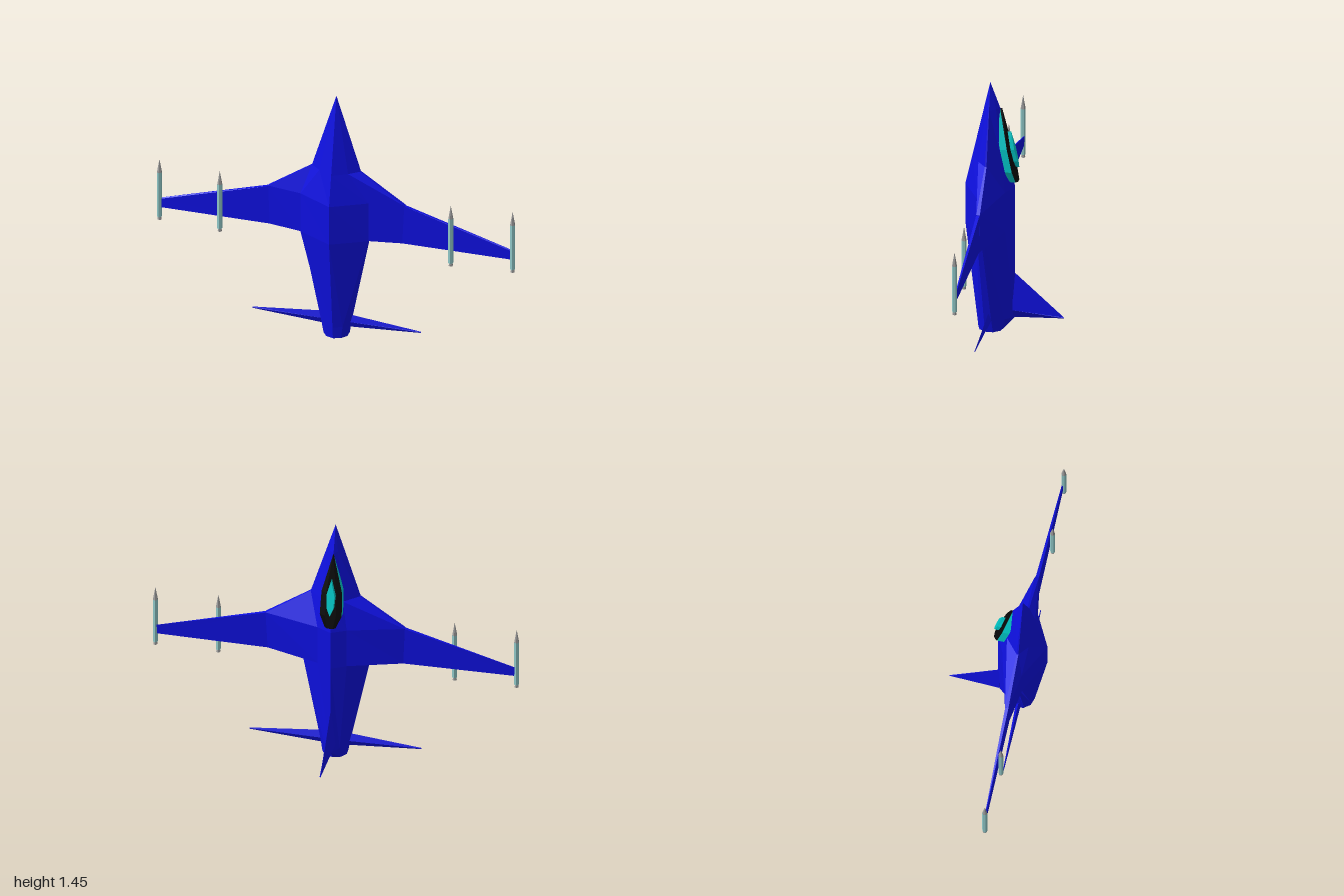
import * as THREE from 'three';

const mat = (color) => new THREE.MeshStandardMaterial({ color, flatShading: true, side: THREE.DoubleSide });

// Skins a row of equal-length point rings, with fan caps at the chosen ends.
function loft(rings, capStart = true, capEnd = true) {
  const tris = [];
  const n = rings[0].length;
  for (let r = 0; r < rings.length - 1; r++) {
    for (let i = 0; i < n; i++) {
      const j = (i + 1) % n;
      const [a, b, c, d] = [rings[r][i], rings[r][j], rings[r + 1][i], rings[r + 1][j]];
      tris.push([a, b, c], [b, d, c]);
    }
  }
  const cap = (ring, flip) => {
    for (let i = 1; i < n - 1; i++) {
      tris.push(flip ? [ring[0], ring[i + 1], ring[i]] : [ring[0], ring[i], ring[i + 1]]);
    }
  };
  if (capStart) cap(rings[0], true);
  if (capEnd) cap(rings[rings.length - 1], false);
  // Turn the skin outward if its enclosed volume is negative, and drop empty triangles
  const vec = tris.map((t) => t.map((p) => new THREE.Vector3(...p)));
  const volume = vec.reduce((s, [a, b, c]) => s + a.dot(b.clone().cross(c)), 0);
  const pos = [];
  for (const [a, b, c] of vec) {
    if (b.clone().sub(a).cross(c.clone().sub(a)).length() < 1e-9) continue;
    for (const p of volume < 0 ? [a, c, b] : [a, b, c]) pos.push(p.x, p.y, p.z);
  }
  const geo = new THREE.BufferGeometry();
  geo.setAttribute('position', new THREE.Float32BufferAttribute(pos, 3));
  geo.computeVertexNormals();
  return geo;
}

// Completes a half section (belly to spine) into a full symmetric ring at height y.
function section(y, half) {
  const mirrored = half.slice(1, -1).reverse().map(([x, z]) => [-x, z]);
  return [...half, ...mirrored].map(([x, z]) => [x, y, z]);
}

export function createModel() {
  const model = new THREE.Group();
  const blue = mat(0x0e10e0), teal = mat(0x00cccc), black = mat(0x080808);
  const paleTeal = mat(0x90c8c8), grey = mat(0x9a9a9a);
  const add = (name, geo, material, parent = model) => {
    const mesh = new THREE.Mesh(geo, material);
    mesh.name = name;
    parent.add(mesh);
    return mesh;
  };

  // Fuselage: belly, lower chine, wing edge low, wing edge high, shoulder, spine
  const circle = [0, 1, 2, 3, 4, 5].map((i) => {
    const a = (i * Math.PI) / 5;
    return [0.07 * Math.sin(a), 0.13 + 0.07 * Math.cos(a)];
  });
  add('fuselage', loft([
    section(0, circle),
    section(0.07, [[0, 0.208], [0.05, 0.187], [0.078, 0.155], [0.078, 0.115], [0.04, 0.05], [0, 0]]),
    section(0.61, [[0, 0.27], [0.19, 0.172], [0.19, 0.15], [0.185, 0.135], [0.08, 0.04], [0, 0]]),
    section(0.611, [[0, 0.27], [0.19, 0.172], [0.37, 0.143], [0.37, 0.128], [0.08, 0.04], [0, 0]]),
    section(0.84, [[0, 0.27], [0.19, 0.17], [0.38, 0.14], [0.38, 0.12], [0.08, 0.04], [0, 0]]),
    section(1.01, [[0, 0.232], [0.08, 0.185], [0.135, 0.14], [0.135, 0.13], [0.055, 0.06], [0, 0.029]]),
    section(1.3, [[0, 0.168], [0.027, 0.152], [0.046, 0.137], [0.046, 0.133], [0.02, 0.1], [0, 0.08]]),
    section(1.45, [[0, 0.135], [0, 0.135], [0, 0.135], [0, 0.135], [0, 0.135], [0, 0.135]]),
  ], false, false), blue);

  // Exhaust, set just inside the tail end
  const exhaust = add('exhaust', new THREE.CylinderGeometry(0.066, 0.066, 0.004, 20), black);
  exhaust.position.set(0, 0.008, 0.13);

  // Tail fin with a diamond section
  add('tailFin', loft([
    [[0, 0.34, 0.01], [0.025, 0.12, 0.01], [0, 0.07, 0.01], [-0.025, 0.12, 0.01]],
    [[0, 0.09, -0.265], [0.003, 0.087, -0.265], [0, 0.084, -0.265], [-0.003, 0.087, -0.265]],
  ]), blue);

  // Canopy outline, on a plane sloping back from the nose
  const outline = [[0, 1.3], [0.056, 1.08], [0.06, 0.95], [0.03, 0.88], [-0.03, 0.88], [-0.06, 0.95], [-0.056, 1.08]];
  const slope = (y) => 0.07 - ((1.3 - y) * 0.09) / 0.42;
  const plate = (pts, lift, scale = 1) => pts.map(([x, y]) => [x * scale, y, slope(y) - lift]);
  add('canopyFrame', loft([plate(outline, -0.05), plate(outline, -0.012)]), teal);
  add('canopyGlass', loft([plate(outline, -0.012), plate(outline, 0, 0.5)]), black);
  const hump = [[0, 1.165], [0.026, 1.07], [0.02, 1.0], [0, 0.96], [-0.02, 1.0], [-0.026, 1.07]];
  add('canopyHump', loft([plate(hump, -0.006), plate(hump, 0.02, 0.85)]), teal);

  for (const [s, side] of [[1, 'left'], [-1, 'right']]) {
    // Wing panel
    add(side + 'Wing', loft([
      [[0.37, 0.84, 0.122], [0.37, 0.84, 0.14], [0.37, 0.611, 0.143], [0.37, 0.611, 0.128]],
      [[0.985, 0.665, 0.134], [0.985, 0.66, 0.141], [0.985, 0.611, 0.142], [0.985, 0.611, 0.136]],
    ].map((ring) => ring.map(([x, y, z]) => [s * x, y, z]))), blue);

    // Tailplane
    add(side + 'Tailplane', loft([
      [[0.06, 0.122, 0.13], [0.06, 0.08, 0.142], [0.06, 0.045, 0.128], [0.06, 0.08, 0.113]],
      [[0.47, 0.08, 0.13], [0.47, 0.076, 0.132], [0.47, 0.072, 0.13], [0.47, 0.076, 0.128]],
    ].map((ring) => ring.map(([x, y, z]) => [s * x, y, z]))), blue);

    // Missiles at the wing tip and under mid-wing
    for (const [name, x, y, z] of [['TipMissile', 0.986, 0.54, 0.143], ['MidMissile', 0.645, 0.53, 0.156]]) {
      const missile = new THREE.Group();
      missile.name = side + name;
      missile.position.set(s * x, y, z);
      add('missileBody', new THREE.CylinderGeometry(0.014, 0.014, 0.27, 6), paleTeal, missile).position.y = 0.15;
      add('missileNose', new THREE.ConeGeometry(0.014, 0.08, 6), grey, missile).position.y = 0.325;
      add('missileNozzle', new THREE.CylinderGeometry(0.008, 0.012, 0.02, 6), grey, missile).position.y = 0.008;
      model.add(missile);
    }
  }
  return model;
}
